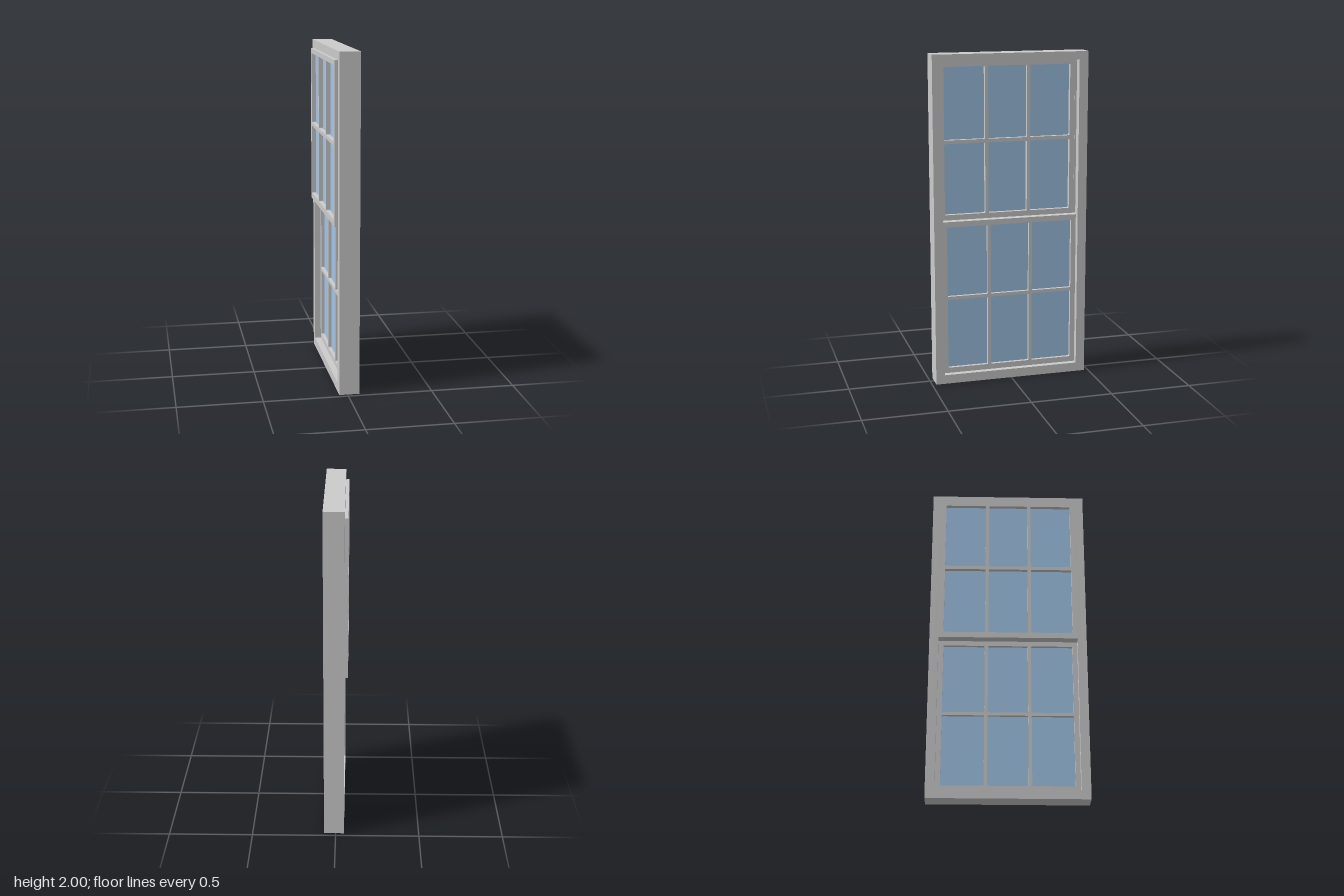
import * as THREE from 'three';

const grey = new THREE.MeshStandardMaterial({ color: 0xcccccc, flatShading: true });
const blue = new THREE.MeshStandardMaterial({ color: 0xa0c6e8 });

// Rectangle with optionally rounded corners, traced on a shape or a hole path
function rect(path, x0, x1, y0, y1, r = 0) {
  if (!r) {
    path.moveTo(x0, y0).lineTo(x1, y0).lineTo(x1, y1).lineTo(x0, y1).closePath();
    return path;
  }
  path.moveTo(x0 + r, y0);
  path.lineTo(x1 - r, y0).quadraticCurveTo(x1, y0, x1, y0 + r);
  path.lineTo(x1, y1 - r).quadraticCurveTo(x1, y1, x1 - r, y1);
  path.lineTo(x0 + r, y1).quadraticCurveTo(x0, y1, x0, y1 - r);
  path.lineTo(x0, y0 + r).quadraticCurveTo(x0, y0, x0 + r, y0);
  return path;
}

// Panel in the z-y plane, extruded along x from xBack to xFront
function panel(name, shape, xBack, xFront) {
  const geo = new THREE.ExtrudeGeometry(shape, {
    depth: xFront - xBack, bevelEnabled: false, curveSegments: 3,
  });
  geo.rotateY(Math.PI / 2).translate(xBack, 0, 0);
  const mesh = new THREE.Mesh(geo, grey);
  mesh.name = name;
  return mesh;
}

// Sash with a 3 x 2 grid of panes and a single glass sheet behind the bars
function makeSash(name, { xBack, xFront, halfWidth, y0, y1, paneRows }) {
  const sash = new THREE.Group();
  sash.name = name;
  const shape = rect(new THREE.Shape(), -halfWidth, halfWidth, y0, y1);
  const columns = [[-0.39, -0.14], [-0.12, 0.12], [0.14, 0.39]];
  for (const [b, t] of paneRows) {
    for (const [l, r] of columns) shape.holes.push(rect(new THREE.Path(), l, r, b, t, 0.006));
  }
  sash.add(panel(name + 'Bars', shape, xBack, xFront));

  const bottom = paneRows[0][0], top = paneRows[1][1];
  const glass = new THREE.Mesh(new THREE.BoxGeometry(0.006, top - bottom + 0.02, 0.8), blue);
  glass.name = name + 'Glass';
  glass.position.set((xBack + xFront) / 2, (top + bottom) / 2, 0);
  sash.add(glass);
  return sash;
}

export function createModel() {
  const model = new THREE.Group();
  model.name = 'sashWindow';

  // Outer frame: two stops with a slightly wider sash channel between them
  const frame = new THREE.Group();
  frame.name = 'frame';
  const layers = [
    ['outerStop', -0.05, -0.012, 0],
    ['sashChannel', -0.012, 0.035, 0.012],
    ['innerStop', 0.035, 0.07, 0],
  ];
  for (const [name, xBack, xFront, groove] of layers) {
    const shape = rect(new THREE.Shape(), -0.475, 0.475, 0, 2);
    shape.holes.push(rect(new THREE.Path(), -0.42 - groove, 0.42 + groove, 0.055 - groove, 1.95 + groove));
    frame.add(panel(name, shape, xBack, xFront));
  }
  model.add(frame);

  // Upper sash stands out past the frame, lower sash runs in the channel
  model.add(makeSash('upperSash', {
    xBack: -0.07, xFront: -0.013, halfWidth: 0.42, y0: 1.0, y1: 1.95,
    paneRows: [[1.035, 1.465], [1.487, 1.92]],
  }));
  model.add(makeSash('lowerSash', {
    xBack: -0.012, xFront: 0.034, halfWidth: 0.43, y0: 0.045, y1: 1.003,
    paneRows: [[0.088, 0.52], [0.54, 0.97]],
  }));
  return model;
}
